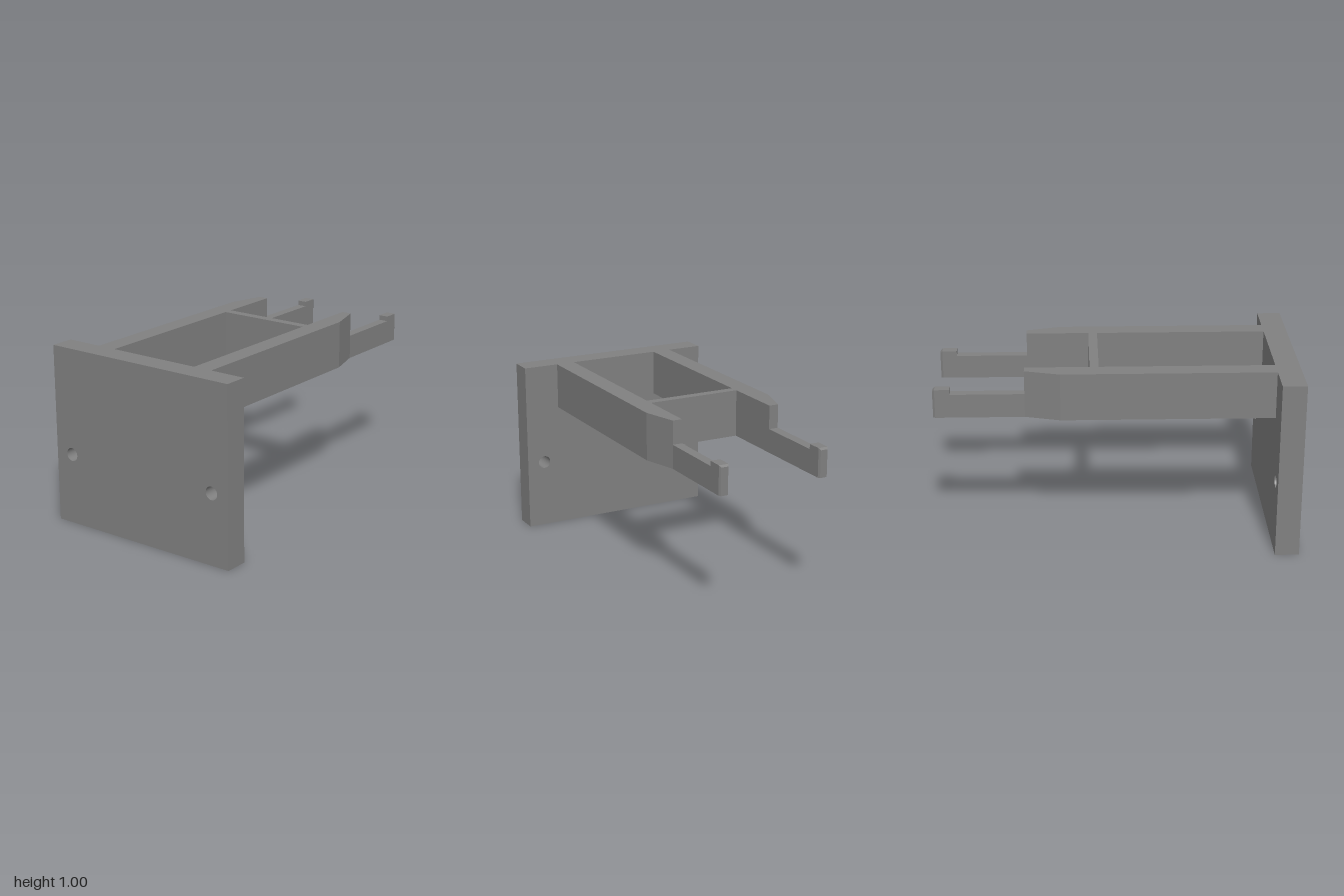
import * as THREE from 'three';

const BOTTOM = 0.733, TOP = 1, INNER = 0.27, OUTER = 0.38, THIN = 0.325;

export function createModel() {
  const group = new THREE.Group();
  const grey = new THREE.MeshStandardMaterial({ color: 0x808080, flatShading: true });
  grey.name = 'grey';

  const add = (name, geometry, parent = group) => {
    const mesh = new THREE.Mesh(geometry, grey);
    mesh.name = name;
    parent.add(mesh);
    return mesh;
  };
  const outline = (points) => new THREE.Shape(points.map(([x, y]) => new THREE.Vector2(x, y)));
  const extrude = (shape, depth) =>
    new THREE.ExtrudeGeometry(shape, { depth, bevelEnabled: false, curveSegments: 24 });

  // Mounting plate with two screw holes
  const plate = outline([[-0.587, 0], [0.587, 0], [0.587, 1], [-0.587, 1]]);
  for (const x of [-0.48, 0.48]) {
    plate.holes.push(new THREE.Path().absarc(x, 0.4, 0.037, 0, Math.PI * 2, true));
  }
  add('mountingPlate', extrude(plate, 0.133)).position.z = 0.867;

  // Cross bar between the arms
  add('crossBar', new THREE.BoxGeometry(INNER * 2, TOP - BOTTOM, 0.05))
    .position.set(0, (TOP + BOTTOM) / 2, -0.12);

  for (const [side, s] of [['left', 1], ['right', -1]]) {
    const arm = new THREE.Group();
    arm.name = side + 'Arm';
    group.add(arm);

    // Tapered beam: plan outline (x, -z) raised upwards
    const beam = extrude(outline([
      [s * INNER, -0.867], [s * OUTER, -0.867], [s * OUTER, 0.305],
      [s * THIN, 0.5], [s * INNER, 0.5],
    ]), TOP - BOTTOM);
    beam.rotateX(-Math.PI / 2);
    add(side + 'Beam', beam, arm).position.y = BOTTOM;

    // Finger with raised hook: side outline (-z, y) extruded across x
    const finger = extrude(outline([
      [0.5, BOTTOM], [0.988, BOTTOM], [0.988, 0.895],
      [0.905, 0.895], [0.905, 0.867], [0.5, 0.867],
    ]), THIN - INNER);
    finger.rotateY(Math.PI / 2);
    add(side + 'Finger', finger, arm).position.x = s > 0 ? INNER : -THIN;

    // Chamfered tip: narrow the rear face of a thin block
    const height = 0.895 - BOTTOM;
    const tip = new THREE.BoxGeometry(THIN - INNER, height, 0.012);
    const p = tip.attributes.position;
    for (let i = 0; i < p.count; i++) {
      if (p.getZ(i) > 0) continue;
      p.setX(i, p.getX(i) - Math.sign(p.getX(i)) * 0.007);
      if (p.getY(i) > 0) p.setY(i, p.getY(i) - 0.01);
    }
    tip.computeVertexNormals();
    add(side + 'Tip', tip, arm)
      .position.set(s * (INNER + THIN) / 2, BOTTOM + height / 2, -0.994);
  }
  return group;
}
